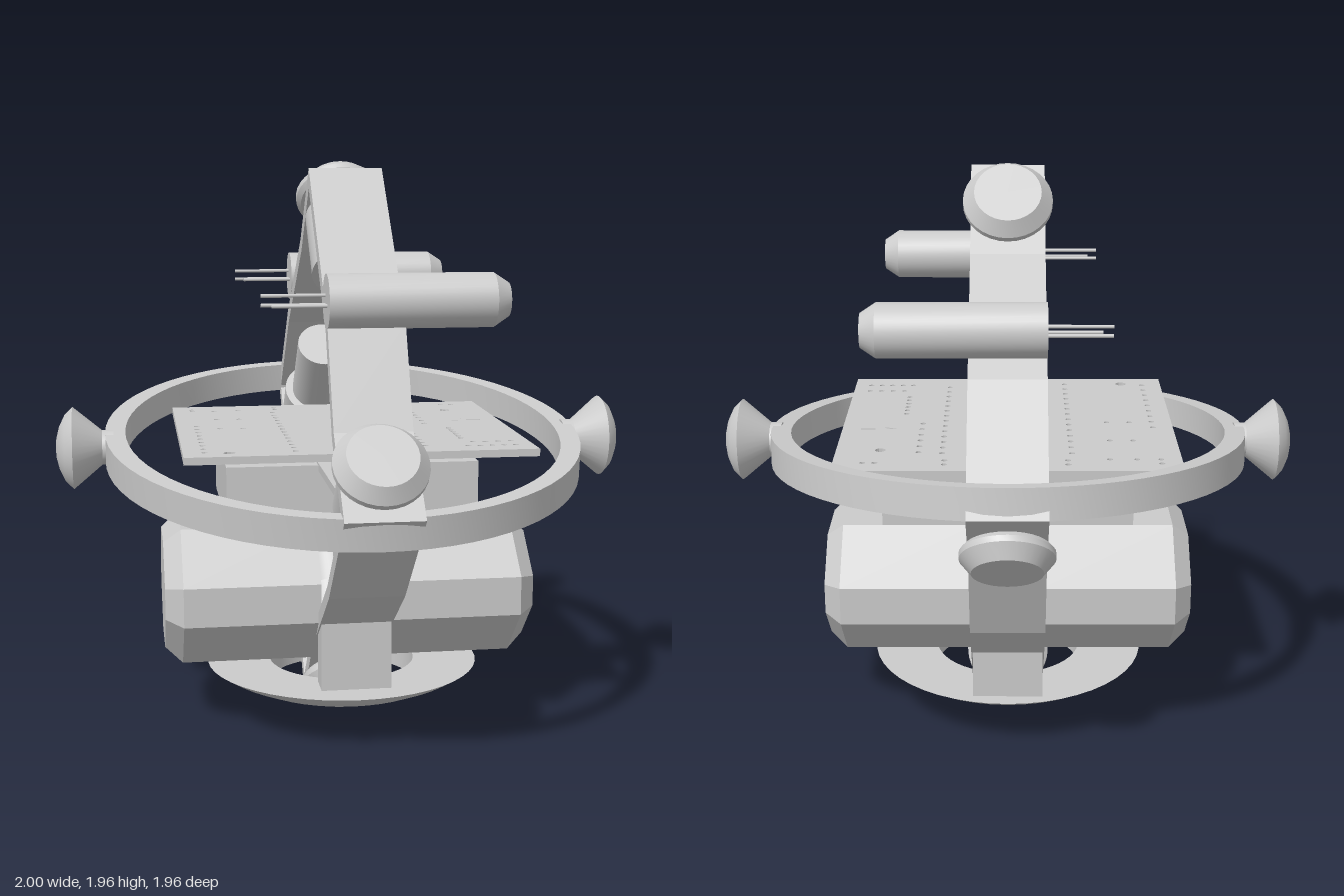
import * as THREE from 'three';
import { toCreasedNormals } from 'three/addons/utils/BufferGeometryUtils.js';

const CY = 0.985; // height of the centre of the body
const W = 0.25;   // strap width
const grey = new THREE.MeshStandardMaterial({ color: 0xcccccc, side: THREE.DoubleSide });
const v2 = ([x, y]) => new THREE.Vector2(x, y);

function add(parent, name, geometry, x = 0, y = 0, z = 0) {
  const mesh = new THREE.Mesh(geometry, grey);
  mesh.name = name;
  mesh.position.set(x, y, z);
  parent.add(mesh);
  return mesh;
}

// Revolved profile of [radius, height] points with sharp edges kept
const lathe = (pts, seg = 32) => toCreasedNormals(new THREE.LatheGeometry(pts.map(v2), seg), 0.5);

const box = (parent, name, x0, x1, y0, y1, z0, z1) =>
  add(parent, name, new THREE.BoxGeometry(x1 - x0, y1 - y0, z1 - z0),
    (x0 + x1) / 2, (y0 + y1) / 2, (z0 + z1) / 2);

// Moves a closed counter-clockwise outline inwards by d, with mitred corners
function inset(pts, d) {
  return pts.map((p, i) => {
    const a = pts[(i + pts.length - 1) % pts.length], b = pts[(i + 1) % pts.length];
    const n1 = v2([a[1] - p[1], p[0] - a[0]]).normalize();
    const n2 = v2([p[1] - b[1], b[0] - p[0]]).normalize();
    const m = n1.clone().add(n2).multiplyScalar(d / (1 + n1.dot(n2)));
    return [p[0] + m.x, p[1] + m.y];
  });
}

// Bent strap that forms the main frame; the second half is the first turned by 180 degrees
function frameStrap() {
  const half = [[0.095, 0.958], [-0.158, 0.705], [-0.6, 0.405],
    [-0.953, 0.074], [-0.72, -0.158], [-0.574, -0.479]];
  const outline = [...half, ...half.map(([z, y]) => [-z, -y])];
  const shape = new THREE.Shape(outline.map(v2));
  shape.holes.push(new THREE.Path(inset(outline, 0.048).map(v2)));
  return new THREE.ExtrudeGeometry(shape, { depth: W, bevelEnabled: false })
    .translate(0, 0, -W / 2).rotateY(-Math.PI / 2);
}

// Motor inside the strap with a thruster cap outside; local +y points outwards
function thruster(name, angle, y, z, wideLength, length) {
  const g = new THREE.Group();
  g.name = name;
  add(g, 'motor', lathe([[0, -0.03], [0.125, -0.03], [0.125, -wideLength], [0.097, -wideLength],
    [0.097, -length], [0, -length]].reverse()));
  add(g, 'cap', lathe([[0, -0.02], [0.09, -0.02], [0.09, 0.018], [0.135, 0.018], [0.15, 0.035],
    [0.15, 0.055], [0.112, 0.102], [0, 0.102]]));
  g.position.set(0, CY + y, z);
  g.rotation.x = angle;
  return g;
}

// Flat elliptical hoop, lower at the front
function hoop() {
  const shape = new THREE.Shape().absellipse(0, 0, 0.83, 0.945, 0, Math.PI * 2);
  shape.holes.push(new THREE.Path().absellipse(0, 0, 0.76, 0.892, 0, Math.PI * 2));
  const geo = new THREE.ExtrudeGeometry(shape, { depth: 0.105, bevelEnabled: false, curveSegments: 36 });
  return toCreasedNormals(geo.translate(0, 0, -0.0525).rotateX(Math.PI / 2), 0.4);
}

// Circuit board with rows of drilled holes and an arrow-shaped cutout
function board() {
  const shape = new THREE.Shape([[-0.58, -0.48], [0.58, -0.48], [0.58, 0.54], [-0.58, 0.54]].map(v2));
  const drill = (x, z, r = 0.01) =>
    shape.holes.push(new THREE.Path().absarc(x, z, r, 0, Math.PI * 2, true));
  const column = (x, z0, z1, n) => {
    for (let i = 0; i < n; i++) drill(x, z0 + (z1 - z0) * i / (n - 1));
  };
  const row = (z, x0, x1, n) => {
    for (let i = 0; i < n; i++) drill(x0 + (x1 - x0) * i / (n - 1), z);
  };
  column(-0.51, -0.04, 0.46, 9);
  column(-0.51, -0.41, -0.37, 2);
  column(-0.2, -0.42, -0.38, 2);
  column(-0.215, -0.31, 0.47, 14);
  column(0.21, -0.42, -0.38, 2);
  column(0.22, -0.31, 0.43, 14);
  column(0.3, -0.3, 0.0, 6);
  column(0.365, 0.11, 0.31, 6);
  row(-0.37, -0.43, -0.34, 2);
  row(-0.18, -0.43, -0.35, 2);
  row(0.015, -0.43, -0.35, 2);
  row(-0.405, 0.44, 0.48, 2);
  row(0.385, 0.39, 0.52, 4);
  row(0.455, 0.36, 0.52, 5);
  drill(-0.43, 0.475, 0.02);
  drill(0.43, -0.28, 0.018);
  const cut = pts => shape.holes.push(new THREE.Path(pts.map(v2)));
  cut([[0.43, -0.1], [0.36, -0.07], [0.43, -0.04], [0.43, -0.05], [0.385, -0.07], [0.43, -0.09]]);
  cut([[0.4, -0.077], [0.4, -0.065], [0.45, -0.065], [0.45, -0.077]]);
  cut([[0.465, -0.067], [0.465, -0.055], [0.515, -0.055], [0.515, -0.067]]);
  return new THREE.ExtrudeGeometry(shape, { depth: 0.025, bevelEnabled: false, curveSegments: 5 })
    .rotateX(Math.PI / 2);
}

// Eight-sided tank running outwards along x, its outer end bevelled
function tank(side) {
  const c = 0.478;
  const pts = [[0.15, 0.24], [0.335, 0.42], [0.335, 0.555], [0.15, 0.717]];
  const outline = [...pts, ...pts.map(([z, y]) => [-z, y]).reverse()];
  const shape = new THREE.Shape(outline.map(([z, y]) => v2([z, y - c])));
  const geo = new THREE.ExtrudeGeometry(shape, { depth: 1, steps: 2, bevelEnabled: false });
  const p = geo.attributes.position;
  for (let i = 0; i < p.count; i++) {
    const t = p.getZ(i), s = t > 0.9 ? 0.79 : 1;
    p.setXYZ(i, p.getX(i) * s, p.getY(i) * s, t < 0.1 ? 0.115 : t < 0.9 ? 0.58 : 0.64);
  }
  geo.computeVertexNormals();
  // The profile is symmetric in z, so a half turn makes the other side
  return geo.rotateY(side * Math.PI / 2).translate(0, c, 0);
}

// Tube with a funnel in its front end and three contact pins at the back
function lamp(name, z) {
  const g = new THREE.Group();
  g.name = name;
  const body = lathe([[0, -0.125], [0.088, -0.125], [0.088, 0.41], [0.055, 0.46],
    [0.046, 0.46], [0.02, 0.38], [0, 0.38]]).rotateZ(-Math.PI / 2);
  add(g, 'lampTube', body);
  for (const [dy, dz, length] of [[0.018, -0.02, 0.21], [-0.012, -0.02, 0.21], [-0.012, 0.02, 0.18]]) {
    const pin = new THREE.CylinderGeometry(0.006, 0.006, length, 8).rotateZ(Math.PI / 2);
    add(g, 'contactPin', pin, -0.12 - length / 2, dy, dz);
  }
  g.position.set(0, 1.533, z);
  return g;
}

export function createModel() {
  const model = new THREE.Group();
  add(model, 'frameStrap', frameStrap(), 0, CY, 0);
  add(model, 'hoop', hoop(), 0, CY, 0).rotation.x = 0.126;
  add(model, 'circuitBoard', board(), 0, 1.043, 0);

  // Thrusters at the four corners: long motors top and bottom, short front and back
  const q = Math.PI / 4;
  model.add(thruster('topThruster', -q, 0.829, -0.034, 0.305, 0.67));
  model.add(thruster('bottomThruster', 3 * q, -0.829, 0.034, 0.305, 0.67));
  model.add(thruster('frontThruster', q, 0.047, 0.83, 0.19, 0.475));
  model.add(thruster('backThruster', -3 * q, -0.047, -0.83, 0.19, 0.475));

  model.add(lamp('frontLamp', 0.55), lamp('backLamp', -0.545));

  for (const side of [-1, 1]) {
    add(model, side > 0 ? 'leftTank' : 'rightTank', tank(side));
    // Flared domes at the sides of the hoop
    const dome = lathe([[0, -0.02], [0.06, -0.02], [0.06, 0.02], [0.143, 0.12], [0.115, 0.148],
      [0.075, 0.167], [0.035, 0.177], [0, 0.18]]);
    add(model, side > 0 ? 'leftDome' : 'rightDome', dome, side * 0.82, CY, 0).rotation.z = -side * Math.PI / 2;
    // Side walls of the tray
    box(model, 'traySide', Math.min(side * 0.43, side * 0.39), Math.max(side * 0.43, side * 0.39), 0.77, 0.95, -0.28, 0.3);
  }

  // Tray under the board, open below
  box(model, 'trayTop', -0.43, 0.43, 0.93, 0.96, -0.28, 0.3);
  box(model, 'trayFront', -0.43, 0.43, 0.77, 0.95, 0.26, 0.3);
  box(model, 'trayBack', -0.43, 0.43, 0.77, 0.95, -0.28, -0.24);

  // Hanger that carries the tray and legs that carry the foot
  box(model, 'hangerBar', -0.12, 0.12, 0.94, 0.967, -0.64, 0.72);
  box(model, 'hangerFloor', -0.12, 0.12, 0.715, 0.77, -0.33, 0.25);
  box(model, 'hangerBack', -0.12, 0.12, 0.715, 0.95, -0.33, -0.28);
  box(model, 'frontLeg', -0.12, 0.12, 0.18, 0.45, 0.27, 0.375);
  box(model, 'backLeg', -0.12, 0.12, 0.18, 0.36, -0.43, -0.33);

  // Bowl-shaped foot with an opening in the middle
  add(model, 'foot', lathe([[0.26, 0.1], [0.27, 0.1], [0.35, 0.122], [0.43, 0.158], [0.485, 0.192],
    [0.26, 0.192], [0.26, 0.1]], 48));
  return model;
}
